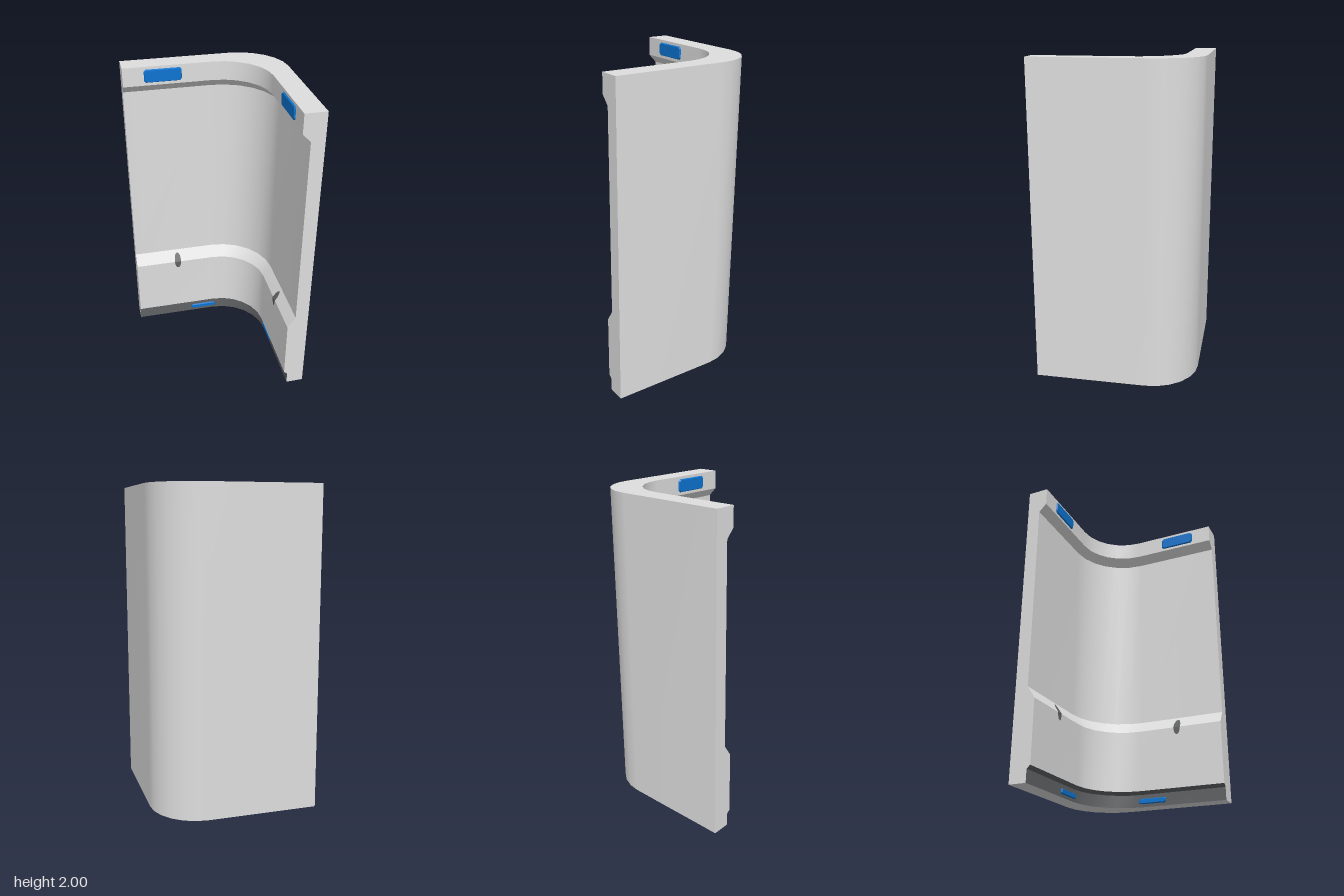
import * as THREE from 'three';

// Inner wall profile: [height, thickness measured from the outer face]
const PROFILE = [
  [0, 0.112], [0.08, 0.112], [0.1, 0.135], [0.5, 0.135],
  [0.577, 0.085], [1.828, 0.085], [1.88, 0.135], [2, 0.135],
];

export function createModel() {
  const grey = new THREE.MeshStandardMaterial({ color: 0xdedede });
  grey.name = 'wall grey';
  const dark = new THREE.MeshStandardMaterial({ color: 0x606264 });
  dark.name = 'dark grey';
  const blue = new THREE.MeshStandardMaterial({ color: 0x0c74d0 });
  blue.name = 'blue';

  const model = new THREE.Group();
  model.name = 'cornerWall';

  function add(name, geometry, material) {
    const mesh = new THREE.Mesh(geometry, material);
    mesh.name = name;
    model.add(mesh);
    return mesh;
  }

  // L-shaped path with a rounded corner, inset from the outer face
  function path(inset, y, radius) {
    const edge = 0.5 - inset;
    const c = edge - radius;
    const pts = [[-0.5, y, -edge]];
    for (let i = 0; i <= 6; i++) {
      const a = (i / 6) * Math.PI / 2;
      pts.push([c + radius * Math.sin(a), y, -c - radius * Math.cos(a)]);
    }
    pts.push([edge, y, 0.5]);
    return pts;
  }
  const inner = ([y, d]) => path(d, y, 0.305 + 0.135 - d);
  const outer = (y) => path(0, y, 0.305);

  // Ribbon of quads between two paths, smooth along its length
  function strip(a, b) {
    const n = a.length;
    const index = [];
    for (let i = 0; i < n - 1; i++) {
      index.push(i, i + 1, n + i + 1, i, n + i + 1, n + i);
    }
    const g = new THREE.BufferGeometry();
    g.setAttribute('position', new THREE.Float32BufferAttribute([...a, ...b].flat(), 3));
    g.setIndex(index);
    g.computeVertexNormals();
    return g;
  }

  // Outside, top and underside
  add('outerWall', strip(outer(2), outer(0)), grey);
  add('topFace', strip(inner(PROFILE[7]), outer(2)), grey);
  add('underside', strip(outer(0), inner(PROFILE[0])), grey);

  // Inside bands; the lowest two form the dark base
  const names = ['baseStrip', 'baseLip', 'lowerBand', 'ledge', 'recessedPanel', 'topLip', 'topBand'];
  names.forEach((name, i) => {
    add(name, strip(inner(PROFILE[i]), inner(PROFILE[i + 1])), i < 2 ? dark : grey);
  });

  // Cut ends of the two arms
  function endGeometry(place) {
    const pts = PROFILE.map(([y, d]) => new THREE.Vector2(place(d), y));
    pts.push(new THREE.Vector2(place(0), 2), new THREE.Vector2(place(0), 0));
    return new THREE.ShapeGeometry(new THREE.Shape(pts)).translate(0, 0, 0.5);
  }
  add('rightArmEnd', endGeometry((d) => 0.5 - d), grey);
  add('backArmEnd', endGeometry((d) => d - 0.5).rotateY(-Math.PI / 2), grey);

  // Thin plate with clipped corners, tapering towards its front
  function plate(w, h, clip) {
    const x = w / 2, y = h / 2;
    const s = new THREE.Shape([
      [-x + clip, -y], [x - clip, -y], [x, -y + clip], [x, y - clip],
      [x - clip, y], [-x + clip, y], [-x, y - clip], [-x, -y + clip],
    ].map((p) => new THREE.Vector2(...p)));
    const g = new THREE.ExtrudeGeometry(s, { depth: 0.009, bevelEnabled: false });
    const p = g.attributes.position;
    for (let i = 0; i < p.count; i++) {
      if (p.getZ(i) < 0.005) continue;
      p.setX(i, p.getX(i) - Math.sign(p.getX(i)) * 0.005);
      p.setY(i, p.getY(i) - Math.sign(p.getY(i)) * 0.005);
    }
    g.computeVertexNormals();
    return g;
  }

  // Oval slot inlay folded over the edge of the ledge
  function slot() {
    const g = new THREE.PlaneGeometry(2, 0.11, 1, 22);
    const p = g.attributes.position;
    for (let i = 0; i < p.count; i++) {
      const t = p.getY(i) / 0.055;
      const y = 0.505 + p.getY(i);
      const half = 0.023 * Math.sqrt(Math.max(0, 1 - t * t));
      const back = Math.max(0, y - 0.5) * 0.05 / 0.077;
      p.setXYZ(i, p.getX(i) * half, y, 0.003 - back);
    }
    g.computeVertexNormals();
    return g;
  }

  // Same details on both arms, mirrored about the corner diagonal
  function onBothArms(name, geometry, material, x, y, inset) {
    const d = 0.5 - inset;
    add(name + 'Back', geometry, material).position.set(x, y, -d);
    const m = add(name + 'Right', geometry, material);
    m.position.set(d, y, -x);
    m.rotation.y = -Math.PI / 2;
  }
  onBothArms('topPlate', plate(0.236, 0.084, 0.012), blue, -0.25, 1.94, 0.135);
  onBothArms('basePlate', plate(0.186, 0.034, 0.006), blue, -0.01, 0.037, 0.112);
  onBothArms('slot', slot(), dark, -0.2, 0, 0.135);

  return model;
}
